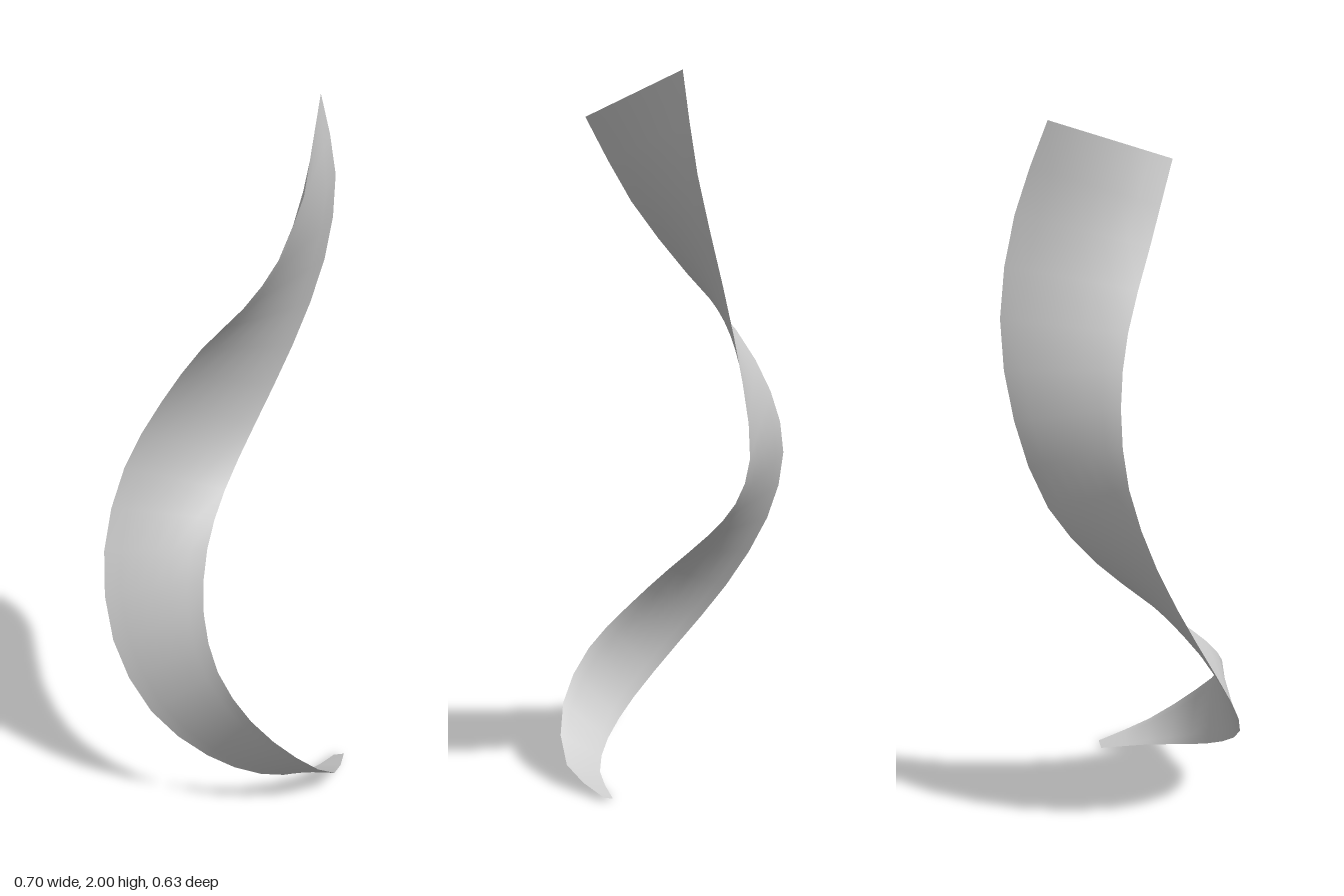
import * as THREE from 'three';

const SEGMENTS = 24; // steps along the ribbon
const STRIPS = 6;    // steps across the ribbon

const curve = (points) =>
  new THREE.CatmullRomCurve3(points.map((p) => new THREE.Vector3(...p)));

// The two long edges of the ribbon, bottom to top, with matching stations
const innerEdge = curve([
  [0.348, 0.01, 0.018], [0.33, 0.06, 0.18], [0.228, 0.19, 0.293],
  [0.1, 0.32, 0.312], [0, 0.435, 0.25], [-0.053, 0.555, 0.14],
  [-0.06, 0.68, -0.005], [-0.025, 0.80, -0.135], [0.05, 0.96, -0.25],
  [0.15, 1.19, -0.307], [0.235, 1.46, -0.31], [0.264, 1.74, -0.25],
  [0.225, 2, -0.165],
]);
const outerEdge = curve([
  [0.318, 0, 0.014], [0.24, 0.025, 0.138], [0.12, 0.07, 0.221],
  [-0.03, 0.15, 0.256], [-0.193, 0.275, 0.234], [-0.313, 0.45, 0.144],
  [-0.353, 0.67, 0.021], [-0.305, 0.89, -0.077], [-0.2, 1.09, -0.114],
  [-0.083, 1.275, -0.087], [0.04, 1.44, -0.013], [0.142, 1.635, 0.095],
  [0.213, 1.86, 0.195],
]);

// Ruled surface: straight rungs from one edge to the other
function ruledSurface(edgeA, edgeB) {
  const positions = [];
  const index = [];
  const row = STRIPS + 1;
  for (let i = 0; i <= SEGMENTS; i++) {
    const a = edgeA.getPoint(i / SEGMENTS);
    const b = edgeB.getPoint(i / SEGMENTS);
    for (let j = 0; j <= STRIPS; j++) {
      positions.push(...a.clone().lerp(b, j / STRIPS).toArray());
      if (i < SEGMENTS && j < STRIPS) {
        const k = i * row + j;
        index.push(k, k + row, k + 1, k + 1, k + row, k + row + 1);
      }
    }
  }
  const geometry = new THREE.BufferGeometry();
  geometry.setAttribute('position', new THREE.Float32BufferAttribute(positions, 3));
  geometry.setIndex(index);
  geometry.computeVertexNormals();
  return geometry;
}

export function createModel() {
  const group = new THREE.Group();
  group.name = 'twistedRibbon';
  const material = new THREE.MeshStandardMaterial({
    color: 0xcccccc,
    side: THREE.DoubleSide,
  });

  // Thin spiralling ribbon, narrow at the foot and wide at the top
  const ribbon = new THREE.Mesh(ruledSurface(innerEdge, outerEdge), material);
  ribbon.name = 'ribbon';
  group.add(ribbon);
  return group;
}
